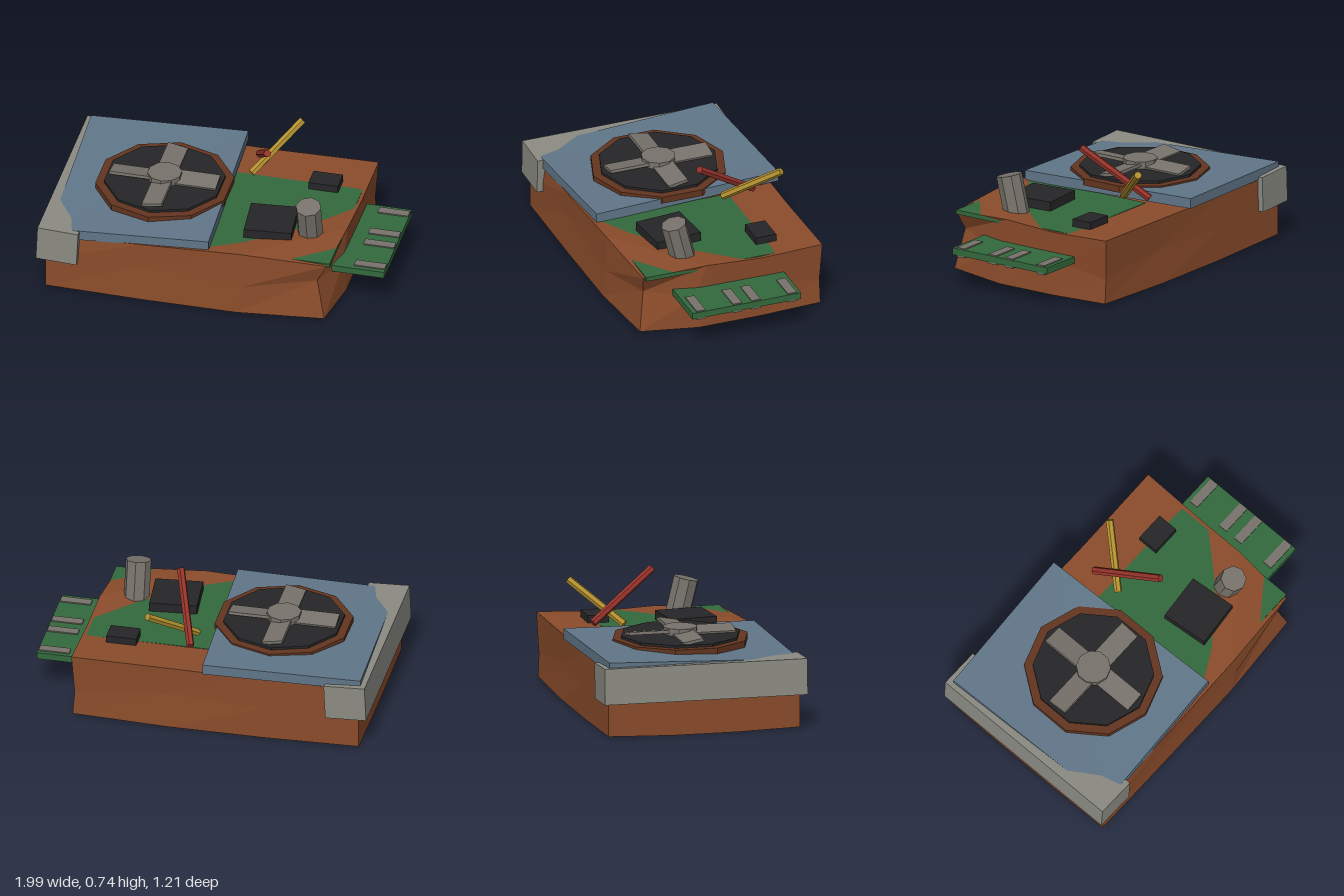
import * as THREE from 'three';

const COLORS = {
  brown: 0x8b4c2b, rim: 0x63351f, blue: 0x607688, green: 0x33693d, black: 0x262628,
  clamp: 0x8b8b83, metal: 0x77726b, gold: 0xb3902f, red: 0x96332a,
};

function part(name, geometry, color, pos = [0, 0, 0], rot = [0, 0, 0]) {
  const material = new THREE.MeshStandardMaterial({ color: COLORS[color], flatShading: true });
  const mesh = new THREE.Mesh(geometry, material);
  mesh.name = name;
  mesh.position.set(...pos);
  mesh.rotation.set(...rot);
  return mesh;
}

const box = (x, y, z) => new THREE.BoxGeometry(x, y, z);

// Uneven block: a 3 x 2 x 3 grid box with a few dented grid points
function bodyGeometry() {
  const size = [1.685, 0.385, 1.135], seg = [3, 2, 3];
  const dents = {
    '3,2,3': [-0.035, -0.015, -0.045], '3,1,3': [-0.095, 0.06, -0.067], '3,0,3': [-0.045, 0.02, -0.028],
    '2,2,3': [0.02, 0.007, -0.015], '3,2,2': [-0.005, 0.008, -0.05],
    '2,2,2': [0, -0.02, 0], '2,2,1': [0, -0.01, 0], '3,2,1': [0, -0.008, 0],
    '1,2,1': [0, -0.01, 0], '1,2,2': [0, -0.02, 0], '1,2,3': [0, -0.015, -0.01],
    '0,2,3': [0.01, -0.03, -0.02], '2,2,0': [0, 0.002, 0.005], '3,2,0': [0.005, 0.008, 0],
    '2,1,3': [0.03, -0.02, -0.01], '1,1,3': [0, 0.03, -0.012], '3,1,2': [-0.015, 0, 0.02],
    '3,1,1': [-0.01, 0.02, 0.03], '3,1,0': [-0.012, -0.04, 0.012], '2,1,0': [0, 0.02, 0.012],
    '0,0,3': [0, 0.01, 0], '0,0,0': [0, 0.012, 0], '3,0,0': [0, 0.012, 0.01],
  };
  const g = new THREE.BoxGeometry(...size, ...seg);
  const p = g.attributes.position;
  for (let i = 0; i < p.count; i++) {
    const v = [p.getX(i), p.getY(i), p.getZ(i)];
    const key = v.map((c, a) => Math.round((c / size[a] + 0.5) * seg[a])).join(',');
    const d = dents[key] || [0, 0, 0];
    p.setXYZ(i, v[0] + d[0], v[1] + d[1], v[2] + d[2]);
  }
  g.computeVertexNormals();
  return g;
}

// Slightly skewed slab whose four top corners are given
function coverGeometry() {
  const corners = {
    '-1,-1': [-0.96, 0.447, -0.565], '1,-1': [-0.04, 0.46, -0.605],
    '-1,1': [-0.925, 0.405, 0.572], '1,1': [0.005, 0.437, 0.535],
  };
  const g = box(2, 2, 2), p = g.attributes.position;
  for (let i = 0; i < p.count; i++) {
    const [x, y, z] = corners[`${p.getX(i)},${p.getZ(i)}`];
    p.setXYZ(i, x, p.getY(i) > 0 ? y : y - 0.06, z);
  }
  g.computeVertexNormals();
  return g;
}

// Straight hexagonal rod between two points
function rod(name, color, a, b) {
  const from = new THREE.Vector3(...a), to = new THREE.Vector3(...b);
  const dir = to.clone().sub(from);
  const mesh = part(name, new THREE.CylinderGeometry(0.023, 0.023, dir.length(), 6), color);
  mesh.position.copy(from).add(to).multiplyScalar(0.5);
  mesh.quaternion.setFromUnitVectors(new THREE.Vector3(0, 1, 0), dir.normalize());
  return mesh;
}

function createFan() {
  const fan = new THREE.Group();
  fan.name = 'fan';
  fan.position.set(-0.385, 0.42, 0);
  fan.add(part('fanRim', new THREE.CylinderGeometry(0.4, 0.4, 0.04, 10), 'rim', [0, 0.018, 0]));
  fan.add(part('fanDisc', new THREE.CylinderGeometry(0.35, 0.35, 0.04, 10), 'black', [0, 0.033, 0]));
  // Four pitched blades around the hub
  for (let i = 0; i < 4; i++) {
    const pivot = new THREE.Group();
    pivot.name = 'bladePivot';
    pivot.rotation.y = i * Math.PI / 2;
    pivot.add(part('fanBlade', box(0.27, 0.018, 0.12), 'metal', [0.18, 0.066, 0], [0.18, 0, 0]));
    fan.add(pivot);
  }
  fan.add(part('fanHub', new THREE.CylinderGeometry(0.1, 0.1, 0.045, 10), 'metal', [0, 0.072, 0]));
  return fan;
}

export function createModel() {
  const model = new THREE.Group();
  model.name = 'circuitDevice';

  model.add(part('body', bodyGeometry(), 'brown', [-0.1075, 0.1925, 0]));
  model.add(part('coverPlate', coverGeometry(), 'blue'));
  model.add(part('endClamp', box(0.24, 0.21, 1.2), 'clamp', [-0.875, 0.308, 0], [0, 0, -0.045]));
  model.add(createFan());

  // Circuit board and its components
  model.add(part('circuitBoard', box(0.75, 0.025, 0.8), 'green', [0.34, 0.3685, 0.11]));
  model.add(part('largeChip', box(0.277, 0.07, 0.28), 'black', [0.295, 0.4, 0.207], [0, 0.09, 0]));
  model.add(part('smallChip', box(0.175, 0.06, 0.125), 'black', [0.497, 0.395, -0.282]));
  model.add(part('capacitor', new THREE.CylinderGeometry(0.075, 0.075, 0.24, 8), 'metal',
    [0.53, 0.474, 0.24], [0.24, 0, 0]));

  // Edge connector with contact pads
  model.add(part('connectorBoard', box(0.4, 0.04, 0.67), 'green', [0.795, 0.235, 0]));
  for (const z of [-0.283, -0.06, 0.055, 0.28]) {
    model.add(part('contactPad', box(0.18, 0.058, 0.055), 'metal', [0.9, 0.233, z]));
  }

  // Loose wires
  model.add(rod('redWire', 'red', [0.077, 0.455, -0.4], [0.218, 0.727, -0.015]));
  model.add(rod('yellowWire', 'gold', [0.075, 0.44, -0.215], [0.31, 0.667, -0.485]));
  return model;
}
